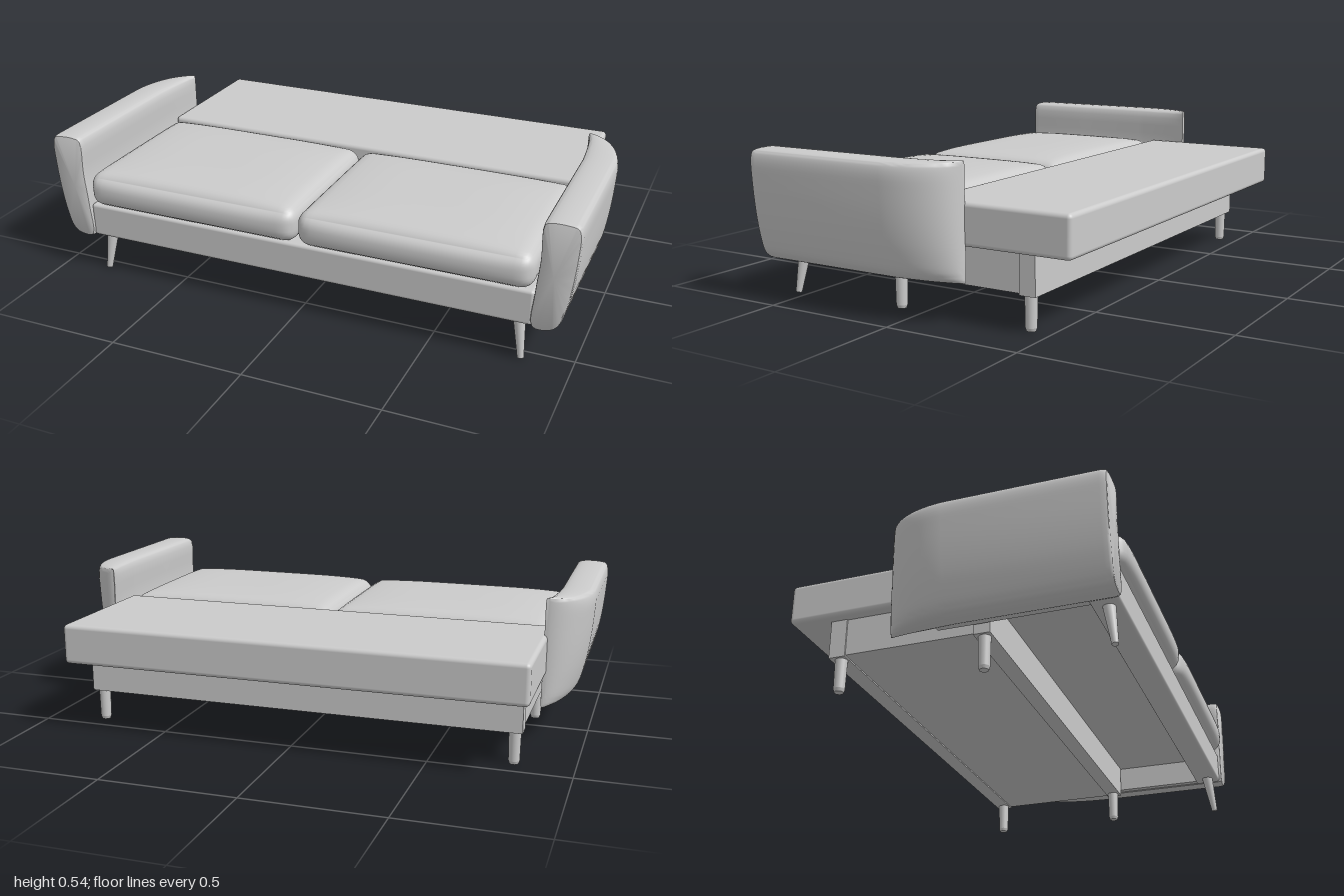
import * as THREE from 'three';
import { mergeVertices, toCreasedNormals } from 'three/addons/utils/BufferGeometryUtils.js';
import { RoundedBoxGeometry } from 'three/addons/geometries/RoundedBoxGeometry.js';

const material = new THREE.MeshStandardMaterial({ color: 0xcccccc });

// Box given by its minimum and maximum corners; r > 0 rounds the edges
function block(name, [x0, y0, z0], [x1, y1, z1], r = 0) {
  const size = [x1 - x0, y1 - y0, z1 - z0];
  const geometry = r ? new RoundedBoxGeometry(...size, 3, r) : new THREE.BoxGeometry(...size);
  const mesh = new THREE.Mesh(geometry, material);
  mesh.name = name;
  mesh.position.set((x0 + x1) / 2, (y0 + y1) / 2, (z0 + z1) / 2);
  return mesh;
}

// Puffy cushion: a dense box with rounded edges and a crowned top
function cushion(name, cx, cy, cz, w, h, d, radius, crown) {
  let geometry = new THREE.BoxGeometry(2, 2, 2, 28, 14, 28);
  geometry.deleteAttribute('normal');
  geometry.deleteAttribute('uv');
  geometry = mergeVertices(geometry);
  const pos = geometry.attributes.position;
  const half = new THREE.Vector3(w / 2, h / 2, d / 2);
  const p = new THREE.Vector3(), core = new THREE.Vector3();
  const lim = half.clone().subScalar(radius);
  const ease = (v) => Math.sin((v * Math.PI) / 2);
  for (let i = 0; i < pos.count; i++) {
    const u = ease(pos.getX(i)), v = ease(pos.getY(i)), t = ease(pos.getZ(i));
    p.set(u, v, t).multiply(half);
    core.copy(p).clamp(lim.clone().negate(), lim);
    p.sub(core).setLength(radius).add(core);
    const bulge = (1 - u ** 4) * (1 - t ** 4);
    if (v > 0) p.y += crown * bulge * v;
    // slight bulge of the front edge
    if (t > 0) p.z += 0.012 * t * (1 - v * v) * (1 - u ** 6);
    pos.setXYZ(i, p.x, p.y, p.z);
  }
  geometry.computeVertexNormals();
  const mesh = new THREE.Mesh(geometry, material);
  mesh.name = name;
  mesh.position.set(cx, cy, cz);
  return mesh;
}

// Armrest: flared section swept from front to back, its outside curving in at the back
function armrest(name, side) {
  const outline = [
    [0.858, 0.146], [0.92, 0.146], [0.947, 0.168], [0.968, 0.23], [0.985, 0.32], [0.997, 0.44],
    [0.999, 0.51], [0.99, 0.535], [0.97, 0.541], [0.895, 0.541], [0.876, 0.53], [0.872, 0.4], [0.86, 0.27],
  ].map(([x, y]) => new THREE.Vector3(x, y, 0));
  const section = new THREE.CatmullRomCurve3(outline, true, 'centripetal').getPoints(52).slice(0, -1);
  if (side < 0) section.reverse();
  const n = section.length;

  // z stations: rounded front edge, straight run, curved back
  const stations = [[0.58, 0.9], [0.578, 0.95], [0.57, 0.985], [0.555, 1], [0.3, 1], [0.02, 1]];
  for (let i = 1; i <= 14; i++) stations.push([0.02 - 0.229 * Math.sin((i / 14) * Math.PI / 2), i > 12 ? 0.985 : 1]);

  const vertices = [], index = [];
  for (const [z, shrink] of stations) {
    const t = Math.max(0, (0.02 - z) / 0.23);
    const width = Math.sqrt(Math.max(0, 1 - t ** 2.2));
    for (const q of section) {
      const x = 0.86 - 0.014 * t + (q.x - 0.86) * width;
      const mid = 0.93 - 0.07 * t;
      const sx = t > 0 ? 1 : shrink;
      vertices.push(side * (mid + (x - mid) * sx), 0.343 + (q.y - 0.343) * (1 - (1 - shrink) * 0.45), z);
    }
  }
  for (let i = 0; i < stations.length - 1; i++) {
    for (let j = 0; j < n; j++) {
      const k = (j + 1) % n;
      const a = i * n + j, b = i * n + k, c = a + n, d = b + n;
      index.push(a, c, b, b, c, d);
    }
  }
  const last = (stations.length - 1) * n, centre = stations.length * n;
  vertices.push(side * 0.92, 0.343, 0.58, side * 0.85, 0.343, stations.at(-1)[0]);
  for (let j = 0; j < n; j++) {
    const k = (j + 1) % n;
    index.push(centre, j, k, centre + 1, last + k, last + j);
  }
  const geometry = new THREE.BufferGeometry();
  geometry.setAttribute('position', new THREE.Float32BufferAttribute(vertices, 3));
  geometry.setIndex(index);
  const mesh = new THREE.Mesh(toCreasedNormals(geometry, 0.7), material);
  mesh.name = name;
  return mesh;
}

// Round tapered leg between two points
function leg(name, top, bottom, rTop, rBottom) {
  const a = new THREE.Vector3(...top), b = new THREE.Vector3(...bottom);
  const axis = a.clone().sub(b);
  const mesh = new THREE.Mesh(new THREE.CylinderGeometry(rTop, rBottom, axis.length(), 20), material);
  mesh.name = name;
  mesh.position.copy(a).add(b).multiplyScalar(0.5);
  mesh.quaternion.setFromUnitVectors(new THREE.Vector3(0, 1, 0), axis.normalize());
  return mesh;
}

export function createModel() {
  const model = new THREE.Group();
  model.name = 'sofaBed';

  // Seat base: front rail and board, open underneath
  model.add(block('frontRail', [-0.86, 0.146, 0.47], [0.86, 0.275, 0.57], 0.012));
  model.add(block('seatBoard', [-0.855, 0.25, -0.05], [0.855, 0.272, 0.5]));

  // Pull-out storage box
  model.add(block('boxFrontBeam', [-0.82, 0.12, 0.07], [0.82, 0.25, 0.13]));
  model.add(block('boxFloor', [-0.81, 0.125, -0.41], [0.81, 0.138, 0.08]));
  model.add(block('boxBackPanel', [-0.82, 0.12, -0.455], [0.82, 0.262, -0.395]));

  // Pulled-out mattress section
  model.add(block('backMattress', [-0.858, 0.26, -0.6], [0.85, 0.408, -0.055], 0.016));

  for (const side of [-1, 1]) {
    const label = side > 0 ? 'left' : 'right';
    const [inner, outer] = side > 0 ? [0.79, 0.815] : [-0.815, -0.79];
    model.add(block(label + 'BoxSide', [inner, 0.125, -0.4], [outer, 0.262, 0.08]));
    const [s0, s1] = side > 0 ? [0.83, 0.862] : [-0.862, -0.83];
    model.add(block(label + 'SideRail', [s0, 0.15, -0.05], [s1, 0.272, 0.48]));

    model.add(armrest(label + 'Armrest', side));
    model.add(cushion(label + 'SeatCushion', side * 0.4285, 0.339, 0.269, 0.853, 0.132, 0.638, 0.05, 0.022));

    // Splayed front leg, upright middle and back legs
    model.add(leg(label + 'FrontLeg', [side * 0.805, 0.15, 0.525], [side * 0.823, 0.002, 0.545], 0.022, 0.0115));
    for (const [part, z] of [['MiddleLeg', 0.1], ['BackLeg', -0.422]]) {
      model.add(leg(label + part, [side * 0.79, 0.125, z], [side * 0.79, 0.012, z], 0.022, 0.02));
      model.add(leg(label + part + 'Foot', [side * 0.79, 0.012, z], [side * 0.79, 0, z], 0.02, 0.016));
    }
  }
  return model;
}
